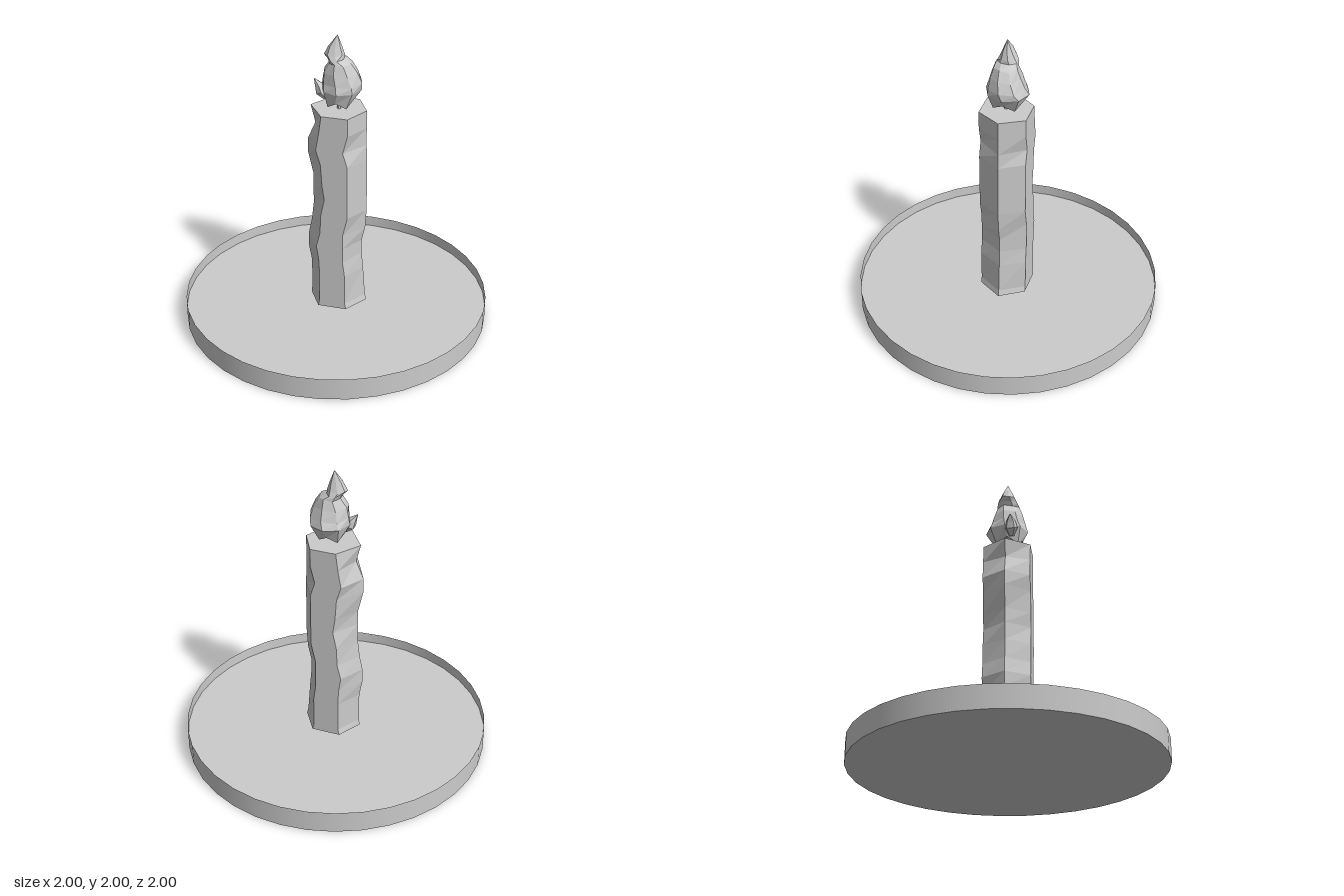
import * as THREE from 'three';

const smooth = new THREE.MeshStandardMaterial({ color: 0xcccccc, side: THREE.DoubleSide });
const faceted = new THREE.MeshStandardMaterial({ color: 0xcccccc, side: THREE.DoubleSide, flatShading: true });

function part(name, geometry, material) {
  const mesh = new THREE.Mesh(geometry, material);
  mesh.name = name;
  return mesh;
}

// Skin a stack of rings (bottom to top, each running from +x towards +z) and cap both ends
function loft(rings) {
  const pos = [];
  const tri = (...pts) => pts.forEach((p) => pos.push(p.x, p.y, p.z));
  const n = rings[0].length;
  for (let i = 0; i < rings.length - 1; i++) {
    for (let j = 0; j < n; j++) {
      const k = (j + 1) % n;
      const [lo, hi] = [rings[i], rings[i + 1]];
      tri(lo[j], hi[j], lo[k]);
      tri(lo[k], hi[j], hi[k]);
    }
  }
  const [bottom, top] = [rings[0], rings[rings.length - 1]];
  for (let j = 1; j < n - 1; j++) {
    tri(bottom[0], bottom[j], bottom[j + 1]);
    tri(top[0], top[j + 1], top[j]);
  }
  const g = new THREE.BufferGeometry();
  g.setAttribute('position', new THREE.Float32BufferAttribute(pos, 3));
  g.computeVertexNormals();
  return g;
}

// Shallow dish: open wall, raised floor and closed underside
function makeDish() {
  const dish = new THREE.Group();
  dish.name = 'dish';
  const wall = part('dishWall', new THREE.CylinderGeometry(1, 1, 0.15, 36, 1, true), smooth);
  wall.position.y = 0.075;
  const floor = part('dishFloor', new THREE.CircleGeometry(1, 36), smooth);
  floor.rotation.x = -Math.PI / 2;
  floor.position.y = 0.075;
  const base = part('dishUnderside', new THREE.CircleGeometry(1, 36), smooth);
  base.rotation.x = Math.PI / 2;
  dish.add(wall, floor, base);
  return dish;
}

// Six-sided candle whose edges waver sideways: y, then x of left, left-mid, right-mid, right edges
function makeCandle() {
  const levels = [
    [0.11, -0.17, -0.08, 0.11, 0.21],
    [0.15, -0.165, -0.07, 0.1, 0.2],
    [0.36, -0.165, -0.07, 0.1, 0.185],
    [0.47, -0.185, -0.075, 0.085, 0.175],
    [0.57, -0.185, -0.09, 0.085, 0.175],
    [0.67, -0.165, -0.065, 0.085, 0.197],
    [0.8, -0.15, -0.06, 0.115, 0.205],
    [0.92, -0.15, -0.035, 0.115, 0.205],
    [1.02, -0.15, -0.05, 0.115, 0.205],
    [1.17, -0.185, -0.06, 0.115, 0.205],
    [1.27, -0.185, -0.09, 0.085, 0.2],
    [1.39, -0.135, -0.07, 0.115, 0.2],
    [1.51, -0.165, -0.055, 0.115, 0.2],
  ];
  const d = 0.154;
  return loft(levels.map(([y, l, lm, rm, r]) =>
    [[r, 0], [rm, d], [lm, d], [l, 0], [lm, -d], [rm, -d]].map(([x, z]) => new THREE.Vector3(x, y, z))));
}

// Crumpled flame: y, xMin, xMax, half depth, centre z, ragged drop, twist
function makeFlame() {
  const levels = [
    [1.57, -0.02, 0.05, 0.04, 0, 0.015, 0],
    [1.58, -0.06, 0.11, 0.1, 0, 0.04, 0],
    [1.65, -0.095, 0.165, 0.14, -0.01, 0, 0],
    [1.7, -0.09, 0.17, 0.122, -0.005, 0.01, 0.1],
    [1.77, -0.08, 0.145, 0.1, 0, 0.012, 0.2],
    [1.83, -0.04, 0.105, 0.08, 0, 0.01, 0.3],
    [1.85, -0.05, 0.055, 0.07, 0, 0, 0.4],
    [1.88, -0.075, 0.055, 0.056, 0, 0.008, 0.5],
    [1.93, -0.05, 0.04, 0.034, 0, 0.008, 0.6],
    [2.0, 0.008, 0.012, 0.002, 0, 0, 0.7],
  ];
  const n = 8;
  return loft(levels.map(([y, x0, x1, depth, cz, drop, twist]) =>
    Array.from({ length: n }, (_, j) => {
      const a = (j / n) * Math.PI * 2 + twist;
      return new THREE.Vector3(
        (x0 + x1) / 2 + (x1 - x0) / 2 * Math.cos(a),
        y - (j % 2) * drop,
        cz + depth * Math.sin(a));
    })));
}

// Small curl of flame rising off the side: centre x, y, radius
function makeLick() {
  const levels = [[-0.055, 1.58, 0.012], [-0.085, 1.625, 0.032], [-0.1, 1.665, 0.024], [-0.13, 1.705, 0.003]];
  return loft(levels.map(([cx, y, r]) =>
    Array.from({ length: 5 }, (_, j) => {
      const a = (j / 5) * Math.PI * 2;
      return new THREE.Vector3(cx + r * Math.cos(a), y + 0.5 * r * Math.cos(a), 0.03 + 1.4 * r * Math.sin(a));
    })));
}

export function createModel() {
  const model = new THREE.Group();
  model.name = 'candleInDish';
  const wick = part('wick', new THREE.CylinderGeometry(0.013, 0.013, 0.12, 6), faceted);
  wick.position.set(0.022, 1.56, 0.005);
  model.add(
    makeDish(),
    part('candle', makeCandle(), faceted),
    wick,
    part('flame', makeFlame(), faceted),
    part('flameLick', makeLick(), faceted),
  );
  return model;
}
